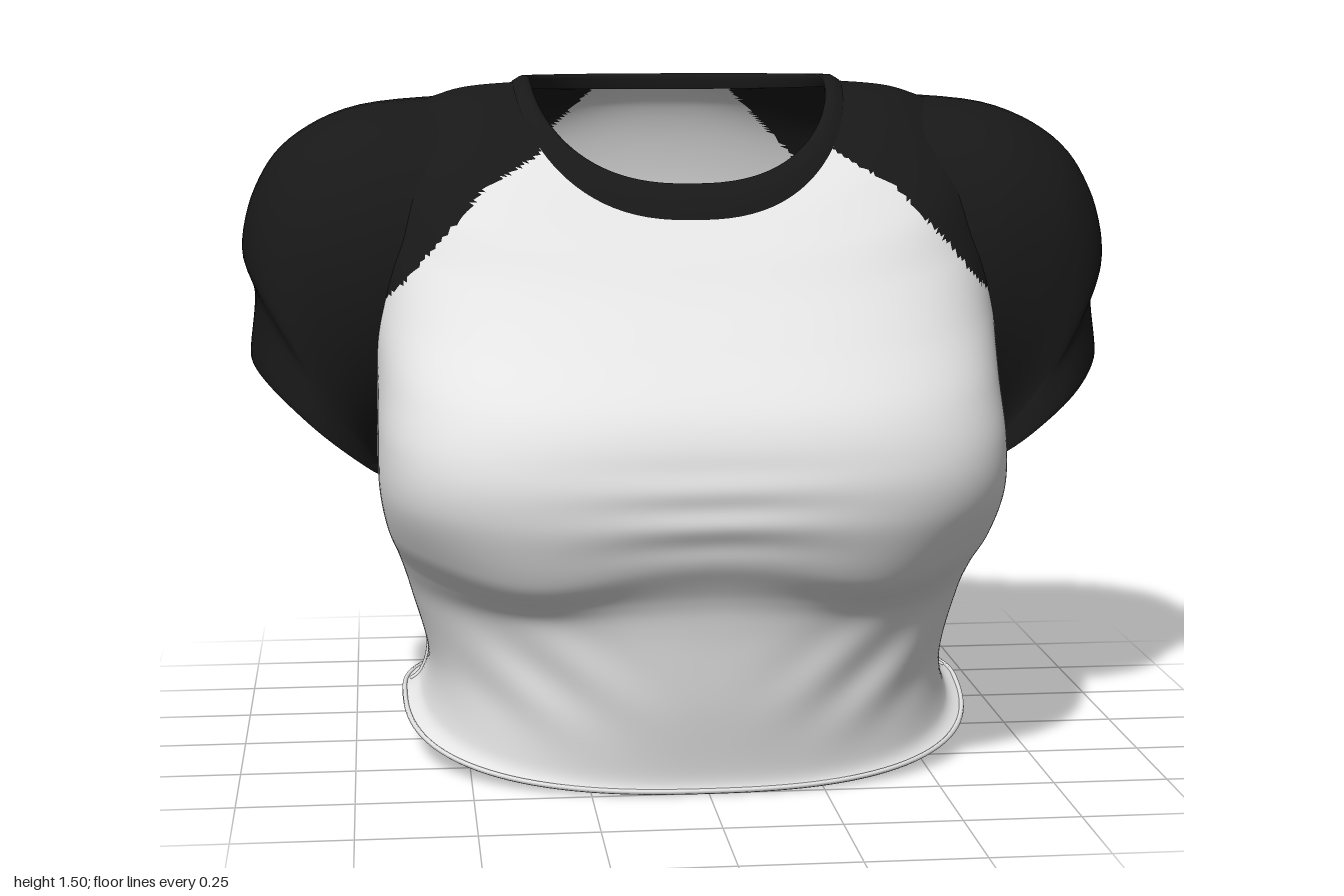
import * as THREE from 'three';

const white = new THREE.MeshStandardMaterial({ color: 0xe4e4e4, side: THREE.DoubleSide });
white.name = 'light cloth';
const black = new THREE.MeshStandardMaterial({ color: 0x181818, side: THREE.DoubleSide });
black.name = 'dark cloth';

const spow = (v, e) => Math.sign(v) * Math.pow(Math.abs(v), e);
const mix = (a, b, t) => a + (b - a) * t;
const bump = (x, c, r) => Math.exp(-(((x - c) / r) ** 2));

// Smooth blend between rows of numbers, t from 0 to 1
function sampleRows(rows, t) {
  const f = t * (rows.length - 1);
  const i = Math.min(Math.floor(f), rows.length - 2);
  const k = f - i;
  const at = (j) => rows[Math.max(0, Math.min(rows.length - 1, j))];
  return rows[i].map((b, n) => {
    const a = at(i - 1)[n], c = at(i + 1)[n], d = at(i + 2)[n];
    return b + 0.5 * k * (c - a + k * (2 * a - 5 * b + 4 * c - d + k * (3 * (b - c) + d - a)));
  });
}

// Closed tube surface; isDark(centre) sorts faces into two material groups
function loft(nu, nv, point, isDark = () => true) {
  const pos = [], light = [], dark = [];
  for (let j = 0; j <= nv; j++)
    for (let i = 0; i < nu; i++) pos.push(...point((i / nu) * Math.PI * 2, j / nv));
  for (let j = 0; j < nv; j++)
    for (let i = 0; i < nu; i++) {
      const a = j * nu + i, b = j * nu + ((i + 1) % nu), c = a + nu, d = b + nu;
      for (const tri of [[a, b, d], [a, d, c]]) {
        const mid = [0, 1, 2].map((n) => tri.reduce((s, p) => s + pos[p * 3 + n] / 3, 0));
        (isDark(mid) ? dark : light).push(...tri);
      }
    }
  const g = new THREE.BufferGeometry();
  g.setAttribute('position', new THREE.Float32BufferAttribute(pos, 3));
  g.setIndex([...light, ...dark]);
  g.addGroup(0, light.length, 0);
  g.addGroup(light.length, dark.length, 1);
  g.computeVertexNormals();
  return g;
}

// Rings: front y, z; side y, z; back y, z; half width; front and back squareness; front arch
const torsoRings = [
  [0.01, 0.505, 0.11, -0.06, 0.13, -0.475, 0.64, 0.8, 0.85, 1],
  [0.05, 0.5, 0.14, -0.06, 0.15, -0.465, 0.6, 0.8, 0.85, 1],
  [0.2, 0.525, 0.22, -0.05, 0.22, -0.455, 0.585, 0.85, 0.85, 1],
  [0.36, 0.545, 0.36, -0.03, 0.36, -0.5, 0.622, 0.88, 0.85, 1],
  [0.44, 0.565, 0.45, 0, 0.46, -0.54, 0.648, 0.83, 0.83, 1],
  [0.52, 0.61, 0.53, 0.04, 0.56, -0.575, 0.675, 0.75, 0.8, 1],
  [0.62, 0.645, 0.63, 0.08, 0.68, -0.605, 0.69, 0.67, 0.75, 1],
  [0.72, 0.642, 0.75, 0.08, 0.82, -0.63, 0.69, 0.66, 0.7, 1],
  [0.83, 0.598, 0.87, 0, 0.97, -0.643, 0.69, 0.7, 0.65, 1],
  [0.95, 0.475, 1.03, -0.1, 1.1, -0.643, 0.7, 0.75, 0.62, 1.05],
  [1.05, 0.37, 1.22, -0.17, 1.22, -0.633, 0.7, 0.78, 0.62, 1.15],
  [1.13, 0.295, 1.39, -0.2, 1.33, -0.61, 0.66, 0.78, 0.65, 1.35],
  [1.18, 0.245, 1.468, -0.18, 1.41, -0.58, 0.52, 0.8, 0.72, 1.5],
  [1.21, 0.215, 1.488, -0.17, 1.455, -0.545, 0.37, 0.8, 0.8, 1.5],
];
const collarRings = [
  [1.205, 0.222, 1.49, -0.17, 1.45, -0.552, 0.375, 0.8, 0.8, 1.5],
  [1.245, 0.2, 1.503, -0.17, 1.485, -0.535, 0.352, 0.8, 0.8, 1.5],
  [1.28, 0.165, 1.497, -0.17, 1.49, -0.505, 0.335, 0.8, 0.8, 1.45],
  [1.265, 0.155, 1.475, -0.17, 1.455, -0.505, 0.338, 0.8, 0.8, 1.45],
];

function ringPoint(rings, a, t) {
  const [yf, zf, ys, zs, yb, zb, w, ef, eb, arch] = sampleRows(rings, t);
  const front = Math.cos(a) >= 0;
  const e = front ? ef : eb;
  const k = Math.abs(spow(Math.cos(a), e));
  const y = front ? mix(ys, yf, Math.pow(k, arch)) : mix(ys, yb, k);
  return [w * spow(Math.sin(a), e), y, mix(zs, front ? zf : zb, k)];
}

// Torso with sagging bust, shoulder blades and soft pulls in the cloth
function torsoPoint(a, t) {
  const [x, y, z] = ringPoint(torsoRings, a, t);
  const f = Math.max(0, Math.cos(a)), b = Math.max(0, -Math.cos(a));
  const ax = Math.abs(x);
  const sag = 0.05 * f * bump(ax, 0.4, 0.2) * bump(y, 0.5, 0.1);
  const ripple = 0.004 * Math.sin(y * 75) * bump(y, 0.62, 0.1) * bump(x, 0, 0.25);
  const pull = 0.008 * Math.sin((y - ax * 0.9) * 32) * bump(y, 0.25, 0.1) * bump(ax, 0.4, 0.18);
  const blade = 0.025 * b * bump(ax, 0.42, 0.2) * bump(y, 1.1, 0.25);
  return [x, y - sag, z + f * (ripple + pull) - blade];
}

// Raglan seam: half width of the light panel at each height, [y, x]
const frontSeam = [[0.74, 0.72], [0.9, 0.7], [1.02, 0.685], [1.06, 0.64], [1.15, 0.56], [1.27, 0.45], [1.34, 0.33], [1.5, 0.25]];
const backSeam = [[0.72, 0.72], [0.8, 0.64], [1.0, 0.555], [1.2, 0.42], [1.35, 0.27], [1.46, 0.16], [1.5, 0.15]];
function raglan([x, y, z]) {
  // dark strip hanging behind the left sleeve
  if (x > 0.4 && y > 0.63 && y < 0.88 && Math.abs(z + 0.365 + 0.18 * y) < 0.01 + (y - 0.6) * 0.1) return true;
  const seam = z > -0.2 ? frontSeam : backSeam;
  if (y < seam[0][0]) return false;
  const i = Math.max(1, seam.findIndex((p) => p[0] >= y));
  const [y0, x0] = seam[i - 1], [y1, x1] = seam[i];
  return Math.abs(x) > mix(x0, x1, (y - y0) / (y1 - y0));
}

// Sleeve rings: top x, y; bottom x, y; centre z; half depth. The last ones close the inside
const sleeveRings = [
  [0.45, 1.458, 0.66, 0.7, -0.255, 0.385],
  [0.72, 1.435, 0.63, 0.65, -0.24, 0.375],
  [0.88, 1.36, 0.64, 0.62, -0.225, 0.345],
  [0.96, 1.25, 0.655, 0.605, -0.21, 0.315],
  [0.99, 1.12, 0.66, 0.6, -0.2, 0.298],
  [0.963, 1.02, 0.66, 0.595, -0.195, 0.293],
  [0.975, 0.875, 0.65, 0.587, -0.19, 0.293],
  [0.945, 0.88, 0.66, 0.612, -0.19, 0.27],
  [0.85, 0.83, 0.73, 0.7, -0.19, 0.13],
  [0.79, 0.77, 0.79, 0.77, -0.19, 0],
];
function sleevePoint(side, a, t) {
  const [tx, ty, bx, by, zc, d] = sampleRows(sleeveRings, t);
  const k = 0.5 - 0.5 * Math.cos(a);
  const fold = 1 + 0.012 * Math.sin(a * 7 + t * 9) * t;
  return [side * mix(tx, bx, k), mix(ty, by, k), zc + side * d * fold * spow(Math.sin(a), 0.9)];
}

export function createModel() {
  const group = new THREE.Group();
  const add = (name, geometry, material) => {
    const mesh = new THREE.Mesh(geometry, material);
    mesh.name = name;
    group.add(mesh);
  };

  add('torso', loft(240, 170, torsoPoint, raglan), [white, black]);
  add('collar', loft(96, 9, (a, t) => ringPoint(collarRings, a, t)), [white, black]);

  for (const side of [1, -1]) {
    const label = side > 0 ? 'left' : 'right';
    add(label + 'Sleeve', loft(72, 54, (a, t) => sleevePoint(side, a, t)), [white, black]);

    // Raised side seam from hem to underarm
    const seam = [];
    for (let i = 0; i <= 12; i++)
      seam.push(new THREE.Vector3(...torsoPoint(side * (Math.PI / 2 + 0.08 + i * 0.008), 0.03 + i * 0.03)));
    add(label + 'SideSeam', new THREE.TubeGeometry(new THREE.CatmullRomCurve3(seam), 30, 0.006, 6), white);
  }

  // Stitched edge along the hem
  const hem = [];
  for (let i = 0; i < 64; i++) hem.push(new THREE.Vector3(...torsoPoint((i / 64) * Math.PI * 2, 0.005)));
  add('hem', new THREE.TubeGeometry(new THREE.CatmullRomCurve3(hem, true), 128, 0.006, 6, true), white);

  return group;
}
